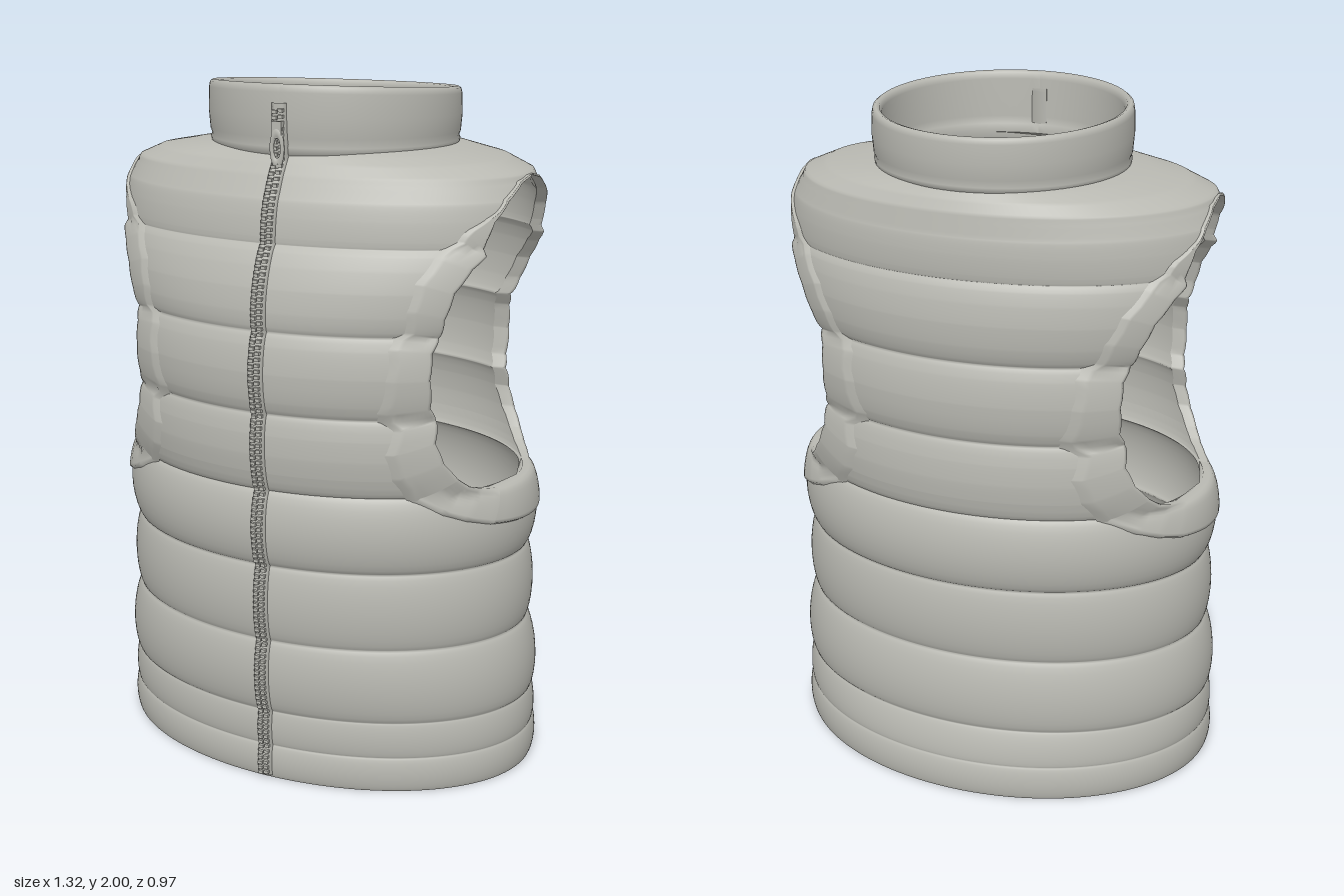
import * as THREE from 'three';
import { mergeGeometries, mergeVertices } from 'three/addons/utils/BufferGeometryUtils.js';

const fabric = new THREE.MeshStandardMaterial({ color: 0xb9b9b2, side: THREE.DoubleSide });
fabric.name = 'grey fabric';

// Body sections: height, half width, front depth, back depth, puff up to the next seam
const SECTIONS = [
  [0, 0.65, 0.43, 0.48, 0.01], [0.105, 0.65, 0.43, 0.475, 0.008],
  [0.215, 0.643, 0.43, 0.45, 0.022], [0.44, 0.622, 0.435, 0.43, 0.02],
  [0.67, 0.615, 0.435, 0.43, 0.028], [0.895, 0.615, 0.435, 0.425, 0.022],
  [1.12, 0.615, 0.445, 0.425, 0.025], [1.35, 0.625, 0.44, 0.425, 0.026],
  [1.58, 0.65, 0.385, 0.42, 0.006], [1.7, 0.635, 0.365, 0.42, 0],
  [1.76, 0.6, 0.335, 0.41, 0], [1.79, 0.53, 0.315, 0.395, 0],
  [1.81, 0.42, 0.3, 0.38, 0], [1.82, 0.35, 0.29, 0.37, 0],
];

// Armhole: height, half depth, scalloped at the seams
const HOLE = [
  [0.896, 0.14], [0.905, 0.19], [0.92, 0.23], [0.95, 0.265], [1, 0.3], [1.06, 0.315],
  [1.12, 0.3], [1.16, 0.325], [1.24, 0.335], [1.31, 0.325], [1.35, 0.3], [1.4, 0.305],
  [1.47, 0.29], [1.53, 0.25], [1.56, 0.215], [1.6, 0.205], [1.65, 0.185], [1.7, 0.14],
  [1.74, 0.07], [1.755, 0],
];

function locate(table, y) {
  let i = 0;
  while (i < table.length - 2 && y >= table[i + 1][0]) i++;
  const t = (y - table[i][0]) / (table[i + 1][0] - table[i][0]);
  return [i, THREE.MathUtils.clamp(t, 0, 1)];
}

// Half width, front and back depth at a height, pushed out by an offset
function section(y, offset = 0) {
  const [i, t] = locate(SECTIONS, y);
  const puff = SECTIONS[i][4] * Math.pow(Math.max(0, Math.sin(Math.PI * t)), 0.6) + offset;
  return [1, 2, 3].map((k) => THREE.MathUtils.lerp(SECTIONS[i][k], SECTIONS[i + 1][k], t) + puff);
}

function holeWidth(y) {
  if (y < HOLE[0][0] || y > HOLE[HOLE.length - 1][0]) return 0;
  const [i, t] = locate(HOLE, y);
  return THREE.MathUtils.lerp(HOLE[i][1], HOLE[i + 1][1], t);
}

function sideX(z, y, offset) {
  const [a, f, b] = section(y, offset);
  const s = z / (z > 0 ? f : b);
  return a * Math.sqrt(Math.max(0, 1 - s * s));
}

// Surface through a grid of points: point(row, column) gives [x, y, z]
function grid(rows, cols, point) {
  const positions = [], index = [];
  for (let r = 0; r <= rows; r++) {
    for (let c = 0; c <= cols; c++) {
      positions.push(...point(r, c));
      if (r < rows && c < cols) {
        const p = r * (cols + 1) + c, q = p + cols + 1;
        index.push(p, q, p + 1, p + 1, q, q + 1);
      }
    }
  }
  const g = new THREE.BufferGeometry();
  g.setAttribute('position', new THREE.Float32BufferAttribute(positions, 3));
  g.setIndex(index);
  g.computeVertexNormals();
  return g;
}

function weld(list) {
  const g = mergeGeometries(list);
  g.deleteAttribute('normal');
  const welded = mergeVertices(g, 1e-4);
  welded.computeVertexNormals();
  return welded;
}

// Row heights: fine steps in each panel, plus the armhole corners
const heights = HOLE.map((h) => h[0]);
SECTIONS.slice(0, -1).forEach(([y0], i) => {
  const n = i < 9 ? 12 : 4;
  const span = SECTIONS[i + 1][0] - y0;
  for (let k = 0; k < n; k++) heights.push(y0 + span * (0.5 - 0.5 * Math.cos((Math.PI * k) / n)));
});
heights.push(1.82);
heights.sort((p, q) => p - q);
const ROWS = heights.filter((y, i) => i === 0 || y - heights[i - 1] > 0.0008);

// Front and back panels, each running from armhole to armhole
function shell(offset) {
  const panel = (front) => grid(ROWS.length - 1, 72, (r, c) => {
    const y = ROWS[r];
    const [a, f, b] = section(y, offset);
    const depth = front ? f : b;
    const start = Math.asin(Math.min(1, holeWidth(y) / depth));
    const angle = (front ? 0 : Math.PI) + start + (Math.PI - 2 * start) * (c / 72);
    return [a * Math.cos(angle), y, depth * Math.sin(angle)];
  });
  return weld([panel(true), panel(false)]);
}

// Binding that wraps the armhole edge and lies on the body
function armholeTrim(side) {
  const inHole = ROWS.filter((y) => y >= 0.896 && y <= 1.755);
  const loop = inHole.map((y) => [holeWidth(y), y]);
  loop.push(...inHole.slice().reverse().map((y) => [-holeWidth(y), y]));
  for (let k = 1; k <= 12; k++) loop.push([-0.14 + (0.28 * k) / 12, 0.896]);
  const profile = [[0, -0.02], [0, 0], [0.04, 0.007]];
  for (let k = 1; k <= 10; k++) profile.push([0.04 + 0.09 * k, 0.008]);
  profile.push([1, -0.003]);
  return grid(profile.length - 1, loop.length - 1, (r, c) => {
    const [z, y] = loop[c];
    const [d, offset] = profile[r];
    const dir = new THREE.Vector2(z, (y - 1.25) * 0.8).normalize();
    const fade = 1 - THREE.MathUtils.smoothstep(y, 1.56, 1.68);
    const reach = d * (0.006 + 0.05 * fade) * (1 + Math.max(0, -dir.y));
    const pz = z + dir.x * reach, py = Math.min(1.757, y + dir.y * reach);
    return [side * sideX(pz, py, offset), py, pz];
  });
}

function frontZ(y) {
  const body = section(Math.min(y, 1.8))[1];
  return THREE.MathUtils.lerp(body, 0.311, THREE.MathUtils.smoothstep(y, 1.79, 1.83));
}

export function createModel() {
  const model = new THREE.Group();
  const add = (name, geometry, parent = model) => {
    const mesh = new THREE.Mesh(geometry, fabric);
    mesh.name = name;
    parent.add(mesh);
    return mesh;
  };

  add('quiltedBody', shell(0));
  add('lining', shell(-0.02));

  // Bottom edge between body and lining
  add('hemEdge', grid(1, 96, (r, c) => {
    const [a, f, b] = section(0, r ? 0 : -0.02);
    const angle = (c / 96) * Math.PI * 2, s = Math.sin(angle);
    return [a * Math.cos(angle), 0, (s > 0 ? f : b) * s];
  }));

  add('leftArmholeTrim', armholeTrim(1));
  add('rightArmholeTrim', armholeTrim(-1));

  // Stand-up collar, its rim lower at the back
  const collarProfile = [
    [0.345, 1.8], [0.358, 1.812], [0.361, 1.828], [0.357, 1.836], [0.362, 1.85], [0.366, 1.9],
    [0.364, 1.96], [0.361, 1.974], [0.353, 1.98], [0.342, 1.976], [0.336, 1.96], [0.336, 1.86],
    [0.332, 1.84], [0.324, 1.825], [0.33, 1.8],
  ].map(([x, y]) => new THREE.Vector2(x, y));
  const collar = new THREE.LatheGeometry(collarProfile, 96);
  const p = collar.attributes.position;
  for (let i = 0; i < p.count; i++) {
    const z = p.getZ(i) * 0.96 - 0.038, y = p.getY(i);
    p.setXYZ(i, p.getX(i), y + 0.064 * z * ((y - 1.8) / 0.18), z);
  }
  collar.computeVertexNormals();
  add('collar', collar);

  // Zip: tape through the front, two columns of teeth, slider and pull tab
  const zip = new THREE.Group();
  zip.name = 'zip';
  model.add(zip);
  const tapeProfile = [[-0.022, -0.03], [-0.022, 0.004], [-0.012, 0.008], [0.012, 0.008],
    [0.022, 0.004], [0.022, -0.03], [-0.022, -0.03]];
  add('zipTape', grid(200, 6, (r, c) => {
    const y = 0.01 + (1.94 * r) / 200;
    return [tapeProfile[c][0], y, frontZ(y) + tapeProfile[c][1]];
  }), zip);
  const teeth = [];
  for (let i = 0; i < 118; i++) {
    for (const side of [-1, 1]) {
      const y = 0.02 + i * 0.0163 + (side > 0 ? 0.004 : 0);
      const tooth = new THREE.BoxGeometry(0.014, 0.009, 0.012);
      teeth.push(tooth.translate(side * 0.009, y, frontZ(y) + 0.01));
    }
  }
  add('zipTeeth', mergeGeometries(teeth), zip);
  add('zipSlider', new THREE.BoxGeometry(0.03, 0.045, 0.02), zip).position.set(0, 1.88, 0.322);
  const tab = add('zipPull', new THREE.TorusGeometry(0.016, 0.006, 8, 24), zip);
  tab.scale.set(1, 2.6, 1);
  tab.position.set(0, 1.83, 0.328);

  return model;
}
